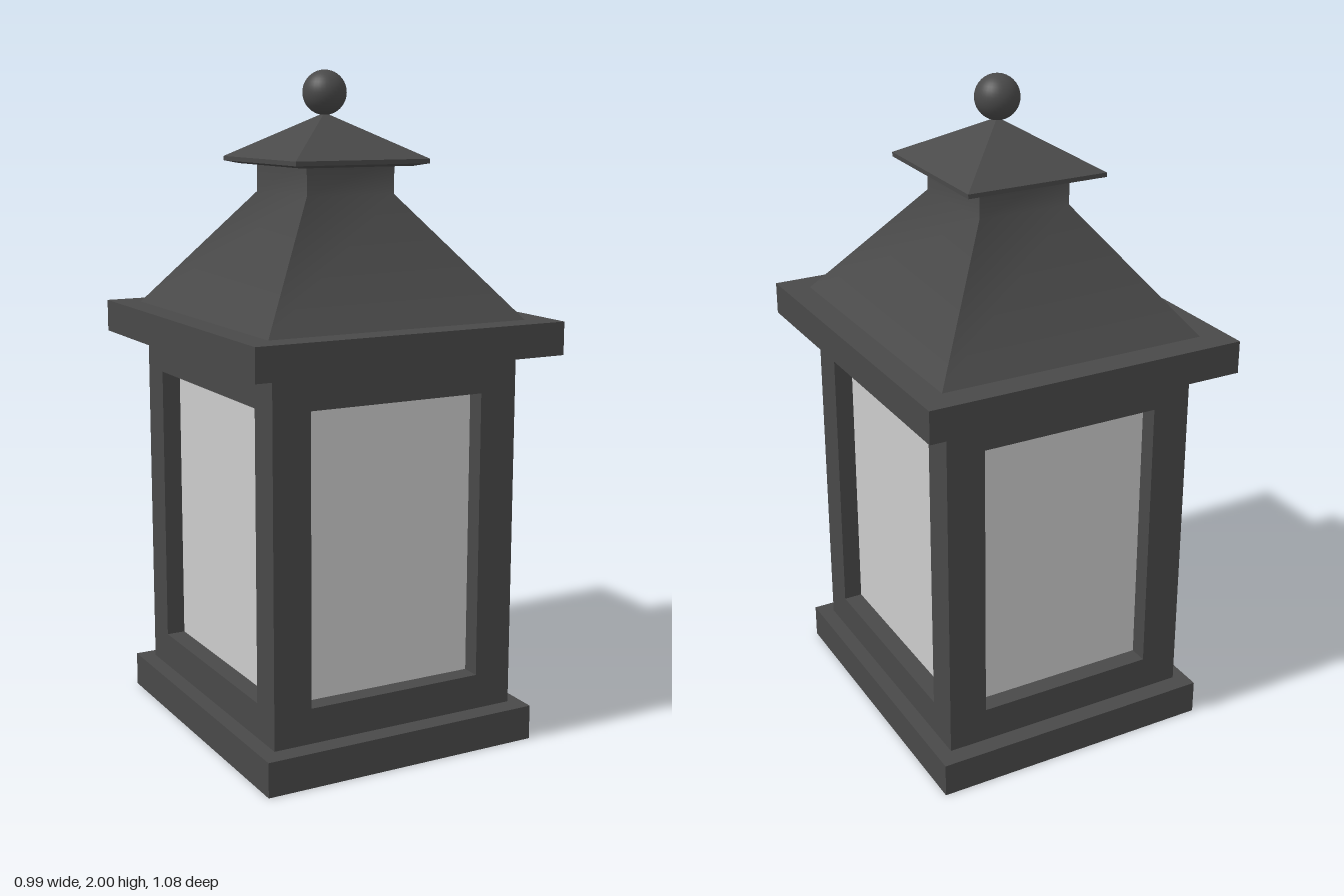
import * as THREE from 'three';
import { toCreasedNormals } from 'three/addons/utils/BufferGeometryUtils.js';

const metal = new THREE.MeshStandardMaterial({ color: 0x494949 });
const glass = new THREE.MeshStandardMaterial({ color: 0xcccccc });
const brass = new THREE.MeshStandardMaterial({ color: 0x4a4630 });

export function createModel() {
  const model = new THREE.Group();
  model.name = 'lantern';

  const add = (name, geometry, material = metal, parent = model) => {
    const mesh = new THREE.Mesh(geometry, material);
    mesh.name = name;
    parent.add(mesh);
    return mesh;
  };

  // Closed four-sided body through levels [y, half x, half z], bottom to top
  const stack = (name, levels, crease = 0.3) => {
    const n = levels.length - 1;
    const geo = new THREE.BoxGeometry(2, 1, 2, 1, n, 1);
    const p = geo.attributes.position;
    for (let i = 0; i < p.count; i++) {
      const [y, hx, hz] = levels[Math.round((p.getY(i) + 0.5) * n)];
      p.setXYZ(i, p.getX(i) * hx, y, p.getZ(i) * hz);
    }
    return add(name, toCreasedNormals(geo, crease));
  };

  // Base and the small seat that lifts the body off it
  stack('base', [[0, 0.442, 0.495], [0.105, 0.442, 0.495]]);
  const seat = add('candleSeat', new THREE.CylinderGeometry(0.17, 0.17, 0.03, 32), brass);
  seat.position.y = 0.115;

  // Four window frames with recessed panes
  const y0 = 0.109, y1 = 1.19, sill = 0.215, head = 1.077;
  const depth = 0.07, recess = 0.058;
  const rect = (path, w, a, b) => path
    .moveTo(-w, a).lineTo(w, a).lineTo(w, b).lineTo(-w, b).closePath();
  const wall = (name, halfWidth, halfWindow, distance, angle) => {
    const side = new THREE.Group();
    side.name = name;
    side.rotation.y = angle;
    const shape = rect(new THREE.Shape(), halfWidth, y0, y1);
    shape.holes.push(rect(new THREE.Path(), halfWindow, sill, head));
    const frame = add('windowFrame',
      new THREE.ExtrudeGeometry(shape, { depth, bevelEnabled: false }), metal, side);
    frame.position.z = distance - depth;
    const pane = add('windowPane',
      new THREE.BoxGeometry(halfWindow * 2, head - sill, 0.01), glass, side);
    pane.position.set(0, (sill + head) / 2, distance - recess - 0.005);
    model.add(side);
  };
  const bodyX = 0.397, bodyZ = 0.442;
  for (const k of [0, 1]) {
    wall(k ? 'backWall' : 'frontWall', bodyX, 0.279, bodyZ, k * Math.PI);
    wall(k ? 'rightWall' : 'leftWall', bodyZ - depth, 0.332, bodyX, Math.PI / 2 + k * Math.PI);
  }
  stack('floor', [[y0, bodyX - depth, bodyZ - depth], [0.14, bodyX - depth, bodyZ - depth]]);

  // Eave
  stack('eave', [[1.187, 0.495, 0.541], [1.285, 0.495, 0.541]]);

  // Sloped roof running smoothly into the chimney neck
  stack('roof', [
    [1.285, 0.415, 0.457], [1.64, 0.145, 0.163], [1.745, 0.145, 0.163],
  ], 0.75);

  // Chimney cap: sloped underside, thin rim and pyramid
  stack('chimneyCap', [
    [1.723, 0.185, 0.206], [1.731, 0.22, 0.241], [1.744, 0.22, 0.241], [1.875, 0, 0],
  ]);

  // Ball finial
  const ball = add('finial', new THREE.SphereGeometry(0.066, 32, 20));
  ball.position.y = 1.934;

  return model;
}
